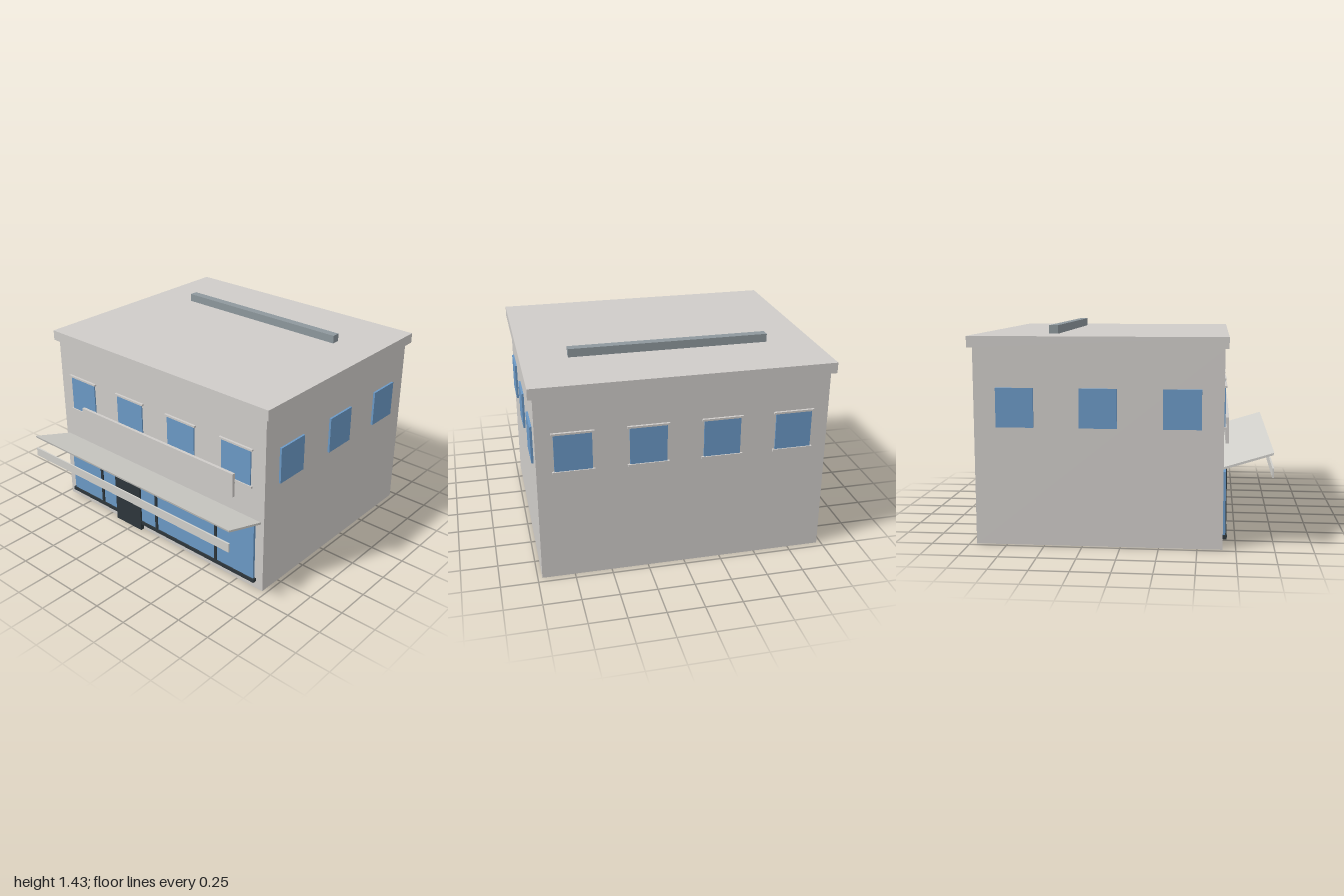
import * as THREE from 'three';

const mat = (name, color) => {
  const m = new THREE.MeshStandardMaterial({ color });
  m.name = name;
  return m;
};

export function createModel() {
  const wall = mat('pale stone', 0xcfccc9);
  const canvas = mat('awning off-white', 0xd1d0cb);
  const glass = mat('blue glass', 0x6b99c6);
  const dark = mat('dark frame', 0x2d363b);
  const metal = mat('grey metal', 0x8e989d);

  const model = new THREE.Group();
  model.name = 'shopBuilding';

  // Box given by its min and max extents on each axis
  const box = (name, material, [x0, x1], [y0, y1], [z0, z1], parent = model) => {
    const mesh = new THREE.Mesh(new THREE.BoxGeometry(x1 - x0, y1 - y0, z1 - z0), material);
    mesh.position.set((x0 + x1) / 2, (y0 + y1) / 2, (z0 + z1) / 2);
    mesh.name = name;
    parent.add(mesh);
    return mesh;
  };

  // Main block, roof slab and rooftop bar
  const front = 0.665, back = -0.955;
  box('walls', wall, [-0.97, 0.97], [0, 1.3], [back, front]);
  box('roofSlab', wall, [-1, 1], [1.3, 1.373], [-0.985, 0.69]);
  box('roofBar', metal, [-0.682, 0.682], [1.373, 1.43], [-0.505, -0.445]);

  // Upper windows with lintel and sill, on the front and the back
  for (const side of [1, -1]) {
    const row = new THREE.Group();
    row.name = side > 0 ? 'frontWindows' : 'backWindows';
    row.position.z = side > 0 ? front : back;
    if (side < 0) row.rotation.y = Math.PI;
    for (const x of [-0.732, -0.245, 0.245, 0.732]) {
      box('windowPane', glass, [x - 0.123, x + 0.123], [0.785, 1.04], [-0.005, 0.009], row);
      box('lintel', wall, [x - 0.138, x + 0.138], [1.04, 1.053], [-0.005, 0.017], row);
      box('sill', wall, [x - 0.138, x + 0.138], [0.77, 0.785], [-0.005, 0.017], row);
    }
    model.add(row);
  }

  // Plain windows on both side walls
  for (const side of [1, -1]) {
    for (const z of [0.4, -0.142, -0.685]) {
      const pane = box('sideWindow', glass, [-0.009, 0.009], [0.783, 1.04], [z - 0.123, z + 0.123]);
      pane.position.x = side * 0.976;
    }
  }

  // Shopfront glazing, mullions, bottom rail and door
  box('shopGlass', glass, [-0.9, 0.9], [0.07, 0.5], [0.66, 0.682]);
  for (const x of [-0.57, 0, 0.57]) {
    box('mullion', dark, [x - 0.011, x + 0.011], [0.07, 0.5], [0.66, 0.69]);
  }
  box('bottomRail', dark, [-0.913, 0.913], [0.054, 0.08], [0.66, 0.692]);
  box('door', dark, [-0.416, -0.158], [0.003, 0.395], [0.66, 0.695]);

  // Blank sign board
  box('signBoard', wall, [-0.73, 0.73], [0.655, 0.83], [0.677, 0.699]);

  // Awning sheet rising outwards, extruded along x from its side profile
  const profile = new THREE.Shape();
  profile.moveTo(-0.655, 0.52);
  profile.lineTo(-0.979, 0.622);
  profile.lineTo(-0.984, 0.638);
  profile.lineTo(-0.655, 0.536);
  profile.closePath();
  const awningGeometry = new THREE.ExtrudeGeometry(profile, { depth: 1.886, bevelEnabled: false });
  awningGeometry.translate(0, 0, -0.943).rotateY(Math.PI / 2);
  const awning = new THREE.Mesh(awningGeometry, canvas);
  awning.name = 'awning';
  model.add(awning);

  // Valance strip below the outer edge
  box('valance', canvas, [-0.943, 0.943], [0.474, 0.538], [0.974, 0.985]);

  return model;
}
